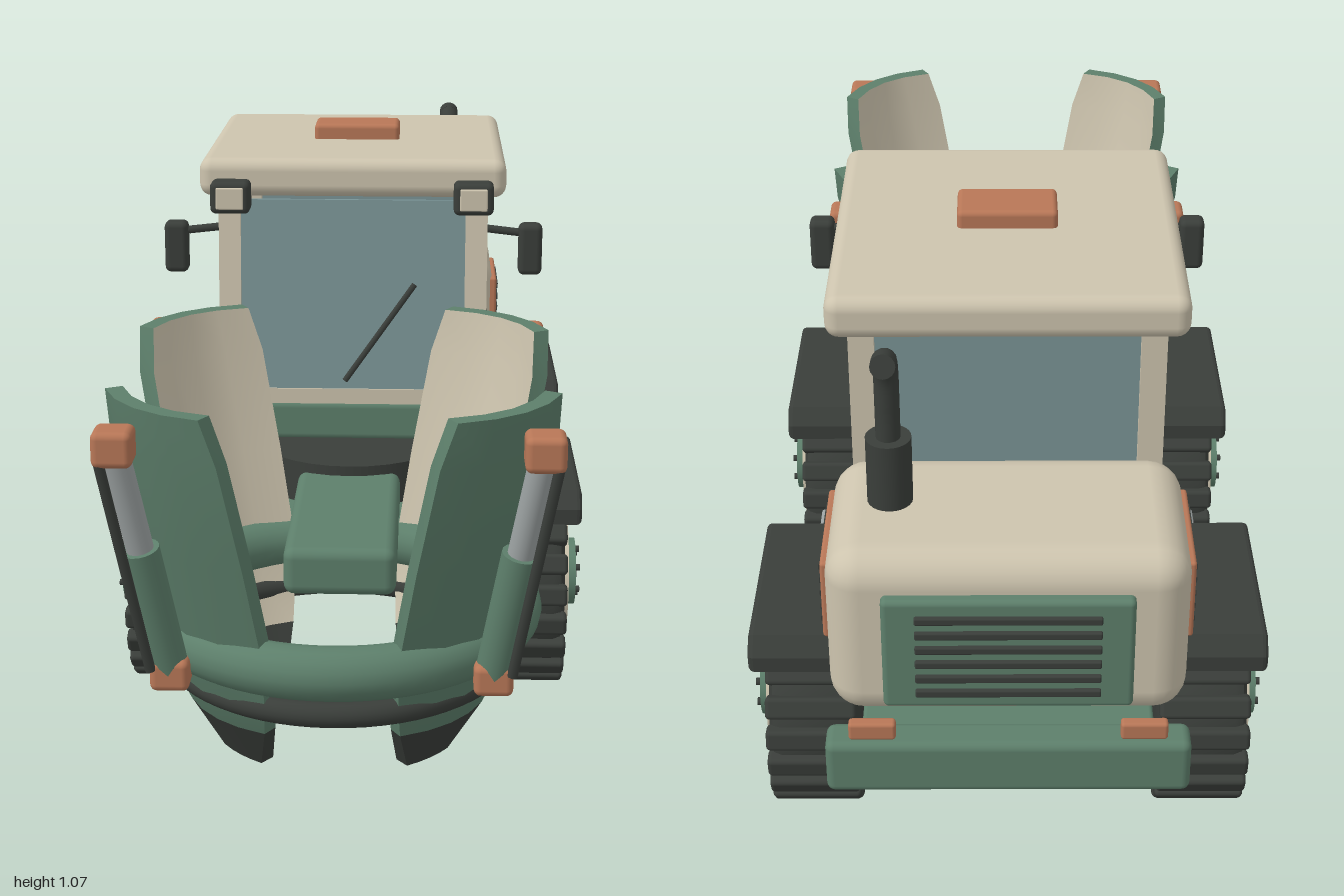
import * as THREE from 'three';
import { toCreasedNormals } from 'three/addons/utils/BufferGeometryUtils.js';
import { RoundedBoxGeometry } from 'three/addons/geometries/RoundedBoxGeometry.js';

const paint = (name, color) => Object.assign(new THREE.MeshStandardMaterial({ color }), { name });

export function createModel() {
  const root = new THREE.Group();
  root.name = 'grappleTractor';
  const green = paint('green', 0x5d7f6b), cream = paint('cream', 0xcdc4ae), dark = paint('charcoal', 0x3a3e3a);
  const orange = paint('orange', 0xb87757), glass = paint('glass', 0x7a9496), gray = paint('steel', 0x9ca2a2);

  const add = (parent, name, geo, mat, x = 0, y = 0, z = 0) => {
    const m = new THREE.Mesh(geo, mat);
    m.name = name;
    m.position.set(x, y, z);
    parent.add(m);
    return m;
  };
  const box = (parent, name, mat, w, h, d, x, y, z, r = 0.008) => add(parent, name,
    r ? new RoundedBoxGeometry(w, h, d, 3, r) : new THREE.BoxGeometry(w, h, d), mat, x, y, z);
  // Round bar between two points
  const bar = (parent, name, mat, a, b, r, sides = 16) => {
    const p = new THREE.Vector3(...a), q = new THREE.Vector3(...b), d = q.clone().sub(p);
    const m = add(parent, name, new THREE.CylinderGeometry(r, r, d.length(), sides), mat);
    m.position.copy(p).add(q).multiplyScalar(0.5);
    m.quaternion.setFromUnitVectors(new THREE.Vector3(0, 1, 0), d.normalize());
    return m;
  };
  // Side profile of [z, y] points, extruded along x and centred on it
  const sideProfile = (points, width, bevel = 0) => {
    const shape = new THREE.Shape(points.map(([z, y]) => new THREE.Vector2(-z, y)));
    const geo = new THREE.ExtrudeGeometry(shape, { depth: width - 2 * bevel, bevelEnabled: bevel > 0,
      bevelSize: bevel, bevelThickness: bevel, bevelOffset: -bevel, bevelSegments: 3 });
    return geo.translate(0, 0, bevel - width / 2).rotateY(Math.PI / 2);
  };

  // Chassis
  box(root, 'rearChassis', green, 0.5, 0.115, 0.7, 0, 0.313, -0.61);
  box(root, 'frontChassis', green, 0.41, 0.115, 0.5, 0, 0.313, -0.03);
  box(root, 'rearBumper', green, 0.62, 0.105, 0.065, 0, 0.322, -0.965, 0.015);
  add(root, 'turntable', new THREE.CylinderGeometry(0.2, 0.2, 0.09, 32), dark, 0, 0.41, -0.03);
  box(root, 'cabMount', green, 0.36, 0.1, 0.36, 0, 0.41, -0.45);
  box(root, 'cabBase', green, 0.58, 0.085, 0.59, 0, 0.492, -0.31, 0.015);

  // Wheels and fenders
  const lugs = 22;
  const makeWheel = (s, z) => {
    const wheel = new THREE.Group();
    wheel.name = 'wheel';
    wheel.position.set(s * 0.35, 0.224, z);
    wheel.rotation.y = s > 0 ? 0 : Math.PI;
    root.add(wheel);
    const disc = (name, mat, r, from, to) => bar(wheel, name, mat, [from, 0, 0], [to, 0, 0], r, 36);
    const tyre = add(wheel, 'tyre', new THREE.LatheGeometry([[0, -0.078], [0.18, -0.078], [0.2, -0.07], [0.207, -0.055],
      [0.207, 0.055], [0.2, 0.07], [0.18, 0.078], [0, 0.078]].map(p => new THREE.Vector2(...p)), 44), dark);
    tyre.geometry = toCreasedNormals(tyre.geometry, 0.6);
    tyre.rotation.z = -Math.PI / 2;
    for (let i = 0; i < lugs; i++) {
      const a = i / lugs * Math.PI * 2;
      const lug = box(wheel, 'treadLug', dark, 0.162, 0.034, 0.04, 0, Math.cos(a) * 0.206, Math.sin(a) * 0.206);
      lug.rotation.x = a;
    }
    disc('rim', cream, 0.12, 0.05, 0.09);
    disc('hub', green, 0.067, 0.05, 0.108);
    for (let i = 0; i < 6; i++) {
      const a = i / 6 * Math.PI * 2, y = Math.cos(a) * 0.047, c = Math.sin(a) * 0.047;
      bar(wheel, 'wheelBolt', dark, [0.1, y, c], [0.117, y, c], 0.007, 8);
    }
  };
  for (const z of [0.13, -0.632]) {
    bar(root, 'axle', dark, [-0.29, 0.224, z], [0.29, 0.224, z], 0.035);
    for (const s of [-1, 1]) {
      makeWheel(s, z);
      add(root, 'fender', sideProfile([[-0.195, 0.395], [0.195, 0.395], [0.195, 0.425], [0.17, 0.457],
        [-0.17, 0.457], [-0.195, 0.425]], 0.255, 0.01), dark, s * 0.328, 0, z);
    }
  }

  // Cab
  box(root, 'roof', cream, 0.62, 0.078, 0.635, 0, 1.0, -0.338, 0.025);
  box(root, 'beacon', orange, 0.18, 0.05, 0.105, 0, 1.046, -0.33, 0.01);
  const lean = y => -0.022 - (y - 0.56) * 0.1; // front face of the leaning windscreen
  const screenProfile = t => [[lean(0.56), 0.56], [lean(0.95), 0.95], [lean(0.95) - t, 0.95], [lean(0.56) - t, 0.56]];
  add(root, 'windscreen', sideProfile(screenProfile(0.008), 0.47), glass);
  box(root, 'rearWindow', glass, 0.47, 0.39, 0.008, 0, 0.755, -0.588, 0);
  box(root, 'frontSill', cream, 0.54, 0.032, 0.035, 0, 0.545, -0.036, 0);
  box(root, 'rearSill', cream, 0.54, 0.032, 0.04, 0, 0.545, -0.586, 0);
  bar(root, 'wiper', dark, [-0.015, 0.58, lean(0.58) + 0.008], [0.127, 0.78, lean(0.78) + 0.008], 0.006, 8);
  for (const s of [-1, 1]) {
    add(root, 'frontPillar', sideProfile([[-0.016, 0.53], [-0.058, 0.965], [-0.096, 0.965], [-0.054, 0.53]], 0.045),
      cream, s * 0.252);
    box(root, 'rearPillar', cream, 0.045, 0.44, 0.042, s * 0.252, 0.75, -0.585, 0);
    add(root, 'sideWindow', sideProfile([[-0.055, 0.56], [-0.092, 0.945], [-0.566, 0.945], [-0.566, 0.56]], 0.009),
      glass, s * 0.258);
    box(root, 'doorPost', green, 0.02, 0.415, 0.022, s * 0.26, 0.752, -0.308, 0.004);
    box(root, 'doorHandle', dark, 0.02, 0.018, 0.075, s * 0.274, 0.665, -0.243, 0.006);
    box(root, 'mirror', dark, 0.048, 0.105, 0.042, s * 0.362, 0.852, -0.063, 0.012);
    bar(root, 'mirrorArm', dark, [s * 0.26, 0.893, -0.07], [s * 0.36, 0.883, -0.063], 0.008, 10);
    box(root, 'headlight', dark, 0.08, 0.065, 0.055, s * 0.244, 0.967, -0.004, 0.012);
    box(root, 'headlightLens', cream, 0.055, 0.044, 0.008, s * 0.244, 0.967, 0.025, 0.003);
    // Boarding steps
    box(root, 'upperStep', gray, 0.16, 0.022, 0.22, s * 0.3, 0.292, -0.297, 0.006);
    box(root, 'lowerStep', gray, 0.17, 0.026, 0.22, s * 0.312, 0.197, -0.297, 0.006);
    for (const z of [-0.23, -0.365]) box(root, 'stepBracket', gray, 0.015, 0.09, 0.02, s * 0.245, 0.24, z, 0.004);
  }

  // Engine hood with grilles
  box(root, 'hood', cream, 0.61, 0.33, 0.345, 0, 0.55, -0.773, 0.06);
  box(root, 'rearGrille', green, 0.42, 0.22, 0.03, 0, 0.54, -0.951, 0.01);
  for (let i = 0; i < 6; i++) box(root, 'rearGrilleSlat', dark, 0.31, 0.014, 0.012, 0, 0.465 + i * 0.03, -0.968, 0.003);
  for (const s of [-1, 1]) {
    box(root, 'sideGrille', orange, 0.02, 0.155, 0.225, s * 0.306, 0.577, -0.752, 0.006);
    for (let i = 0; i < 5; i++) box(root, 'sideGrilleSlat', dark, 0.008, 0.011, 0.18, s * 0.316, 0.523 + i * 0.027, -0.752, 0);
    box(root, 'tailLight', orange, 0.08, 0.034, 0.022, s * 0.23, 0.39, -0.972, 0.006);
  }

  // Exhaust
  bar(root, 'muffler', dark, [0.2, 0.69, -0.76], [0.2, 0.84, -0.76], 0.039, 24);
  const pipe = new THREE.CatmullRomCurve3([[0.82, -0.76], [0.9, -0.76], [0.965, -0.765], [1.0, -0.785], [1.018, -0.835]]
    .map(([y, z]) => new THREE.Vector3(0.2, y, z)));
  add(root, 'exhaustPipe', new THREE.TubeGeometry(pipe, 24, 0.021, 14), dark);
  bar(root, 'exhaustTip', dark, [0.2, 1.013, -0.815], [0.2, 1.019, -0.838], 0.021);

  // Grapple: boom, rings and four claws
  box(root, 'boom', green, 0.205, 0.09, 0.455, 0, 0.39, 0.357, 0.02);
  const grapple = new THREE.Group();
  grapple.name = 'grapple';
  grapple.position.z = 0.6;
  root.add(grapple);
  const ring = (name, mat, R, r, y) => add(grapple, name, new THREE.TorusGeometry(R, r, 16, 64).rotateX(Math.PI / 2), mat, 0, y, 0);
  ring('mainRing', green, 0.318, 0.046, 0.347);
  ring('lowerRing', dark, 0.296, 0.022, 0.262);

  // Surface through rows of points
  const skin = rows => {
    const n = rows[0].length, index = [];
    for (let i = 0; i < rows.length - 1; i++) for (let j = 0; j < n - 1; j++) {
      const a = i * n + j, b = a + n;
      index.push(a, a + 1, b, a + 1, b + 1, b);
    }
    const geo = new THREE.BufferGeometry();
    geo.setAttribute('position', new THREE.Float32BufferAttribute(rows.flat(2), 3));
    geo.setIndex(index);
    return toCreasedNormals(geo, 0.4);
  };
  // Claw sections: height, distance from the ring axis, half width
  const tip = [[0.12, 0.235, 0.05], [0.205, 0.285, 0.1]];
  const blade = [tip[1], [0.27, 0.318, 0.125], [0.37, 0.345, 0.14], [0.53, 0.385, 0.142], [0.72, 0.432, 0.14], [0.8, 0.442, 0.122]];
  const us = [-1, -0.5, 0, 0.5, 1];
  const outer = ([y, r, w]) => us.map(u => [u * w, y, r - 2.2 * (u * w) ** 2]);
  const inner = s => outer(s).map(([x, y, z]) => [x * 0.93, y, z - 0.03]);
  const shell = s => [inner(s)[0], ...outer(s), inner(s)[4]];
  const back = s => inner(s).reverse();

  for (let k = 0; k < 4; k++) {
    const claw = new THREE.Group();
    claw.name = 'claw';
    claw.rotation.y = Math.PI / 4 + k * Math.PI / 2;
    grapple.add(claw);
    const top = blade[blade.length - 1];
    add(claw, 'clawShell', skin(blade.map(shell)), green);
    add(claw, 'clawTopEdge', skin([outer(top), inner(top)]), green);
    add(claw, 'clawLining', skin(blade.map(back)), cream);
    add(claw, 'clawTipShell', skin(tip.map(shell)), dark);
    add(claw, 'clawTipBack', skin(tip.map(back)), dark);
    add(claw, 'clawTipEdge', skin([inner(tip[0]), outer(tip[0])]), dark);
    // Hydraulic ram
    box(claw, 'upperPivot', orange, 0.066, 0.06, 0.066, 0, 0.746, 0.484, 0.012).rotation.y = Math.PI / 4;
    box(claw, 'lowerPivot', orange, 0.066, 0.055, 0.066, 0, 0.328, 0.382, 0.012).rotation.y = Math.PI / 4;
    bar(claw, 'ramRod', gray, [0, 0.74, 0.482], [0, 0.53, 0.431], 0.023);
    bar(claw, 'ramBarrel', green, [0, 0.56, 0.438], [0, 0.335, 0.384], 0.032);
    bar(claw, 'hydraulicHose', dark, [0, 0.73, 0.516], [0, 0.34, 0.425], 0.009, 8);
  }
  return root;
}
